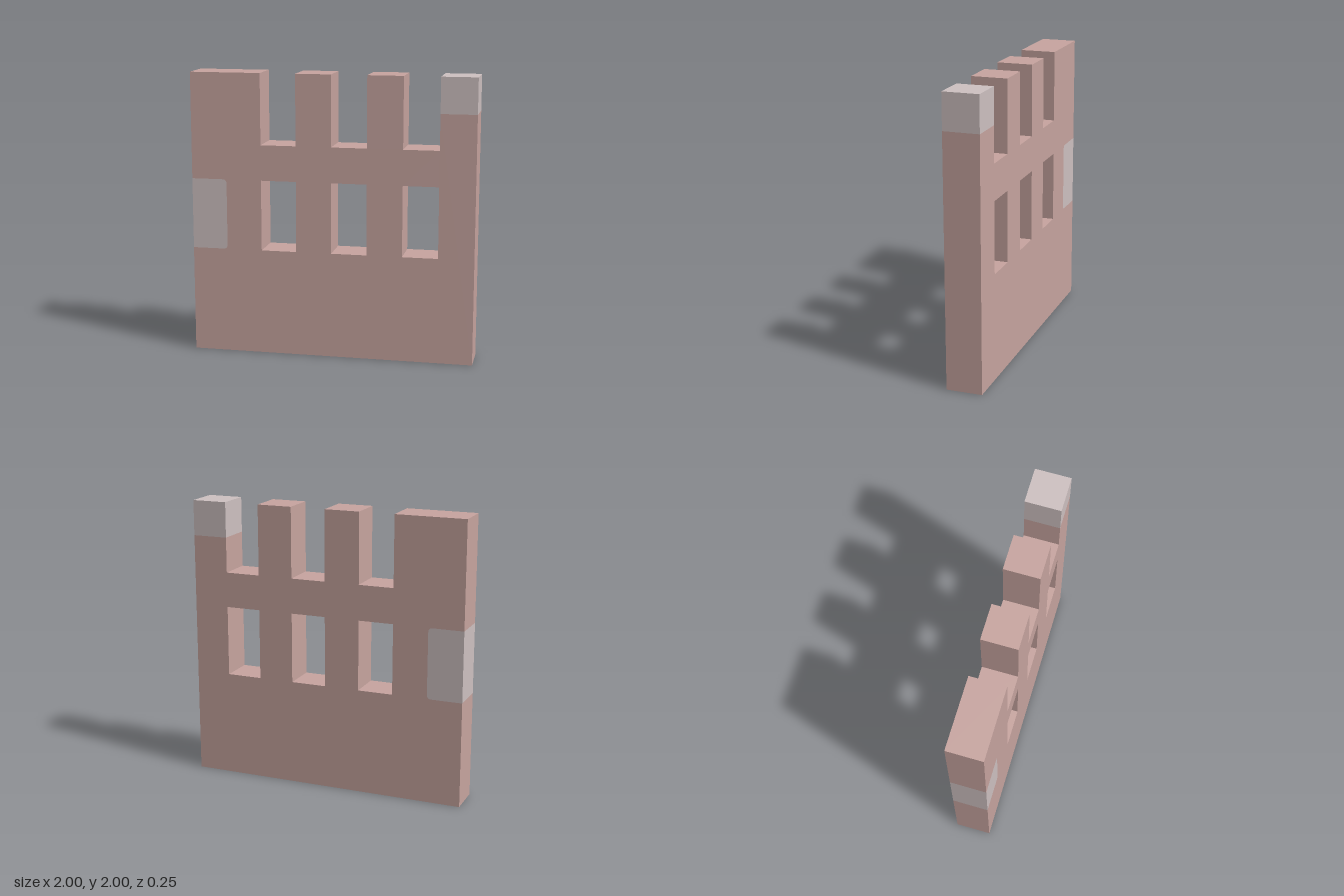
import * as THREE from 'three';

const DEPTH = 0.25;
const U = 0.25; // grid unit

export function createModel() {
  const group = new THREE.Group();
  group.name = 'crenellatedWall';

  const brick = new THREE.MeshStandardMaterial({ color: 0xc8a5a0 });
  brick.name = 'dustyPink';
  const pale = new THREE.MeshStandardMaterial({ color: 0xcfc2c2 });
  pale.name = 'paleGrey';

  function addSlab(name, shape, material) {
    const geometry = new THREE.ExtrudeGeometry(shape, { depth: DEPTH, bevelEnabled: false, curveSegments: 5 });
    geometry.translate(0, 0, -DEPTH / 2);
    const mesh = new THREE.Mesh(geometry, material);
    mesh.name = name;
    group.add(mesh);
  }

  // Rounded inner edge of the side inlay, drawn from bottom to top
  const low = 3 * U, high = 5 * U, inner = -1 + U, r = 0.03;
  function inlayEdge(shape) {
    shape.lineTo(-1, low);
    shape.lineTo(inner - r, low);
    shape.quadraticCurveTo(inner, low, inner, low + r);
    shape.lineTo(inner, high - r);
    shape.quadraticCurveTo(inner, high, inner - r, high);
    shape.lineTo(-1, high);
  }

  // Wall outline with gaps between merlons and a recess for the inlay
  const gaps = [-0.5, 0, 0.5];
  const wall = new THREE.Shape();
  wall.moveTo(-1, 0);
  inlayEdge(wall);
  wall.lineTo(-1, 2);
  for (const x of gaps) {
    wall.lineTo(x, 2);
    wall.lineTo(x, 1.5);
    wall.lineTo(x + U, 1.5);
    if (x < 0.5) wall.lineTo(x + U, 2);
  }
  wall.lineTo(0.75, 1.75);
  wall.lineTo(1, 1.75);
  wall.lineTo(1, 0);
  wall.closePath();

  // Windows below each gap
  for (const x of gaps) {
    const hole = new THREE.Path();
    hole.moveTo(x, low);
    hole.lineTo(x + U, low);
    hole.lineTo(x + U, high);
    hole.lineTo(x, high);
    hole.closePath();
    wall.holes.push(hole);
  }
  addSlab('wall', wall, brick);

  // Pale inlay wrapping the side edge
  const inlay = new THREE.Shape();
  inlay.moveTo(-1, low);
  inlayEdge(inlay);
  inlay.closePath();
  addSlab('sideInlay', inlay, pale);

  // Pale cap on the end merlon
  const cap = new THREE.Mesh(new THREE.BoxGeometry(U, U, DEPTH), pale);
  cap.position.set(0.875, 1.875, 0);
  cap.name = 'merlonCap';
  group.add(cap);

  return group;
}
